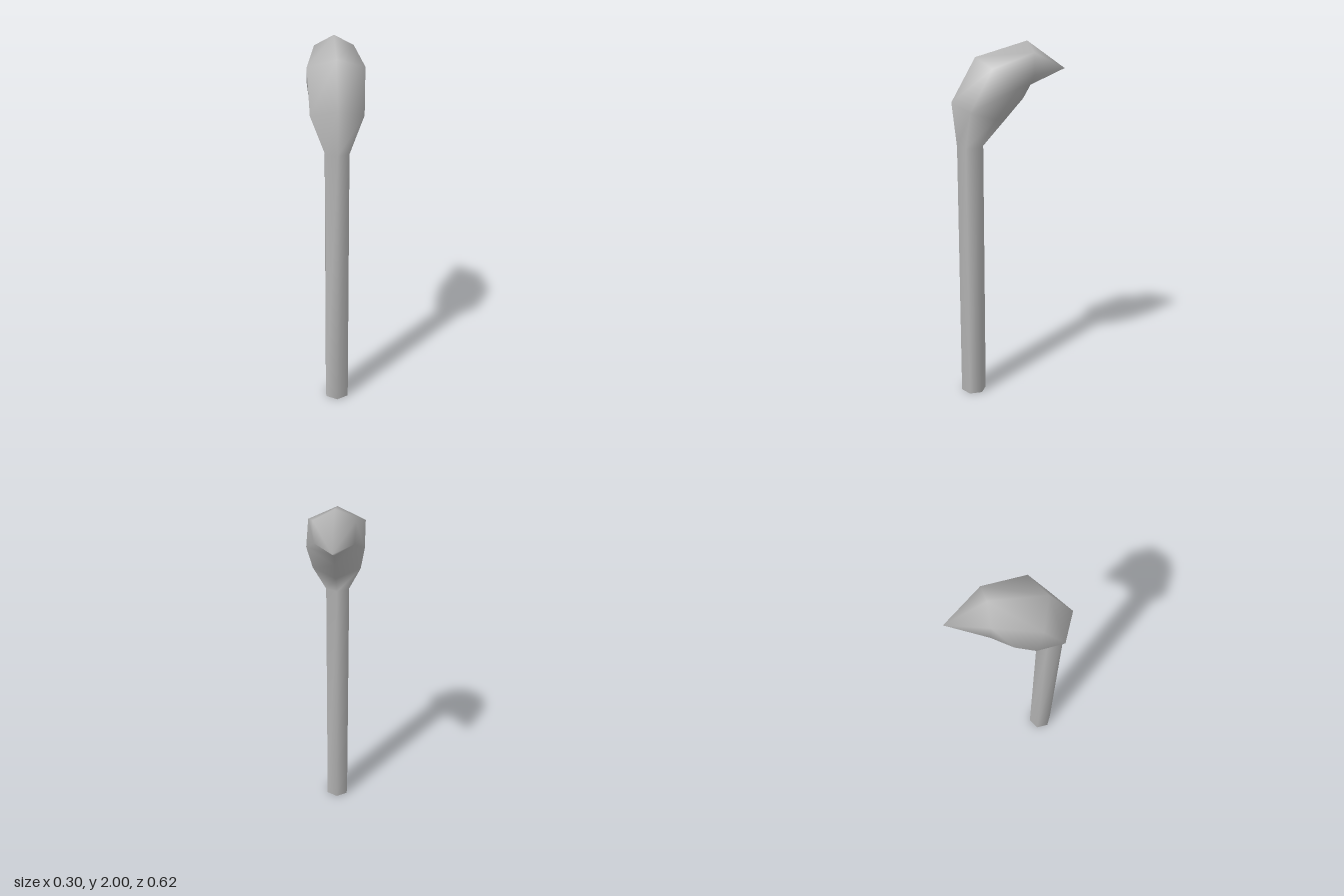
import * as THREE from 'three';

// Six-sided section, mirrored in x: [y, z] of the front ridge, the [x, y, z]
// of the front and rear flanks, and [y, z] of the rear ridge.
function section(front, frontFlank, rearFlank, rear) {
  const mirror = ([x, y, z]) => [-x, y, z];
  return [
    [0, ...front], frontFlank, rearFlank,
    [0, ...rear], mirror(rearFlank), mirror(frontFlank),
  ];
}

// Level regular hexagon for the shaft
function hexagon(y) {
  const r = 0.0715, z = 0.213, w = r * 0.866;
  return section([y, z + r], [w, y, z + r / 2], [w, y, z - r / 2], [y, z - r]);
}

// Closed smooth skin through the sections, ending in a single tip point
function loft(sections, tip) {
  const n = 6, points = sections.flat(), index = [];
  const last = (sections.length - 1) * n;
  const tipIndex = points.push(tip) - 1;
  for (let k = 0; k < n; k++) {
    const next = (k + 1) % n;
    for (let s = 0; s < last; s += n) {
      const a = s + k, b = s + next;
      index.push(a, b, b + n, a, b + n, a + n);
    }
    index.push(last + k, last + next, tipIndex);
  }
  // flat end under the shaft
  for (let k = 1; k < n - 1; k++) index.push(0, k + 1, k);
  const geometry = new THREE.BufferGeometry();
  geometry.setAttribute('position', new THREE.Float32BufferAttribute(points.flat(), 3));
  geometry.setIndex(index);
  geometry.computeVertexNormals();
  return geometry;
}

export function createModel() {
  const model = new THREE.Group();
  model.name = 'club';
  const grey = new THREE.MeshStandardMaterial({ color: 0xb8b8b8 });
  grey.name = 'grey';

  const sections = [
    // shaft
    hexagon(0),
    hexagon(1.453),
    // swelling head that bends backwards
    section([1.69, 0.31], [0.137, 1.65, 0.238], [0.127, 1.61, 0.1], [1.58, 0.027]),
    section([1.92, 0.18], [0.148, 1.87, 0.12], [0.148, 1.77, -0.015], [1.7, -0.08]),
    section([2.0, -0.1], [0.105, 1.945, -0.11], [0.1, 1.83, -0.115], [1.77, -0.12]),
  ];
  const club = new THREE.Mesh(loft(sections, [0, 1.853, -0.31]), grey);
  club.name = 'shaftAndHead';
  model.add(club);
  return model;
}
